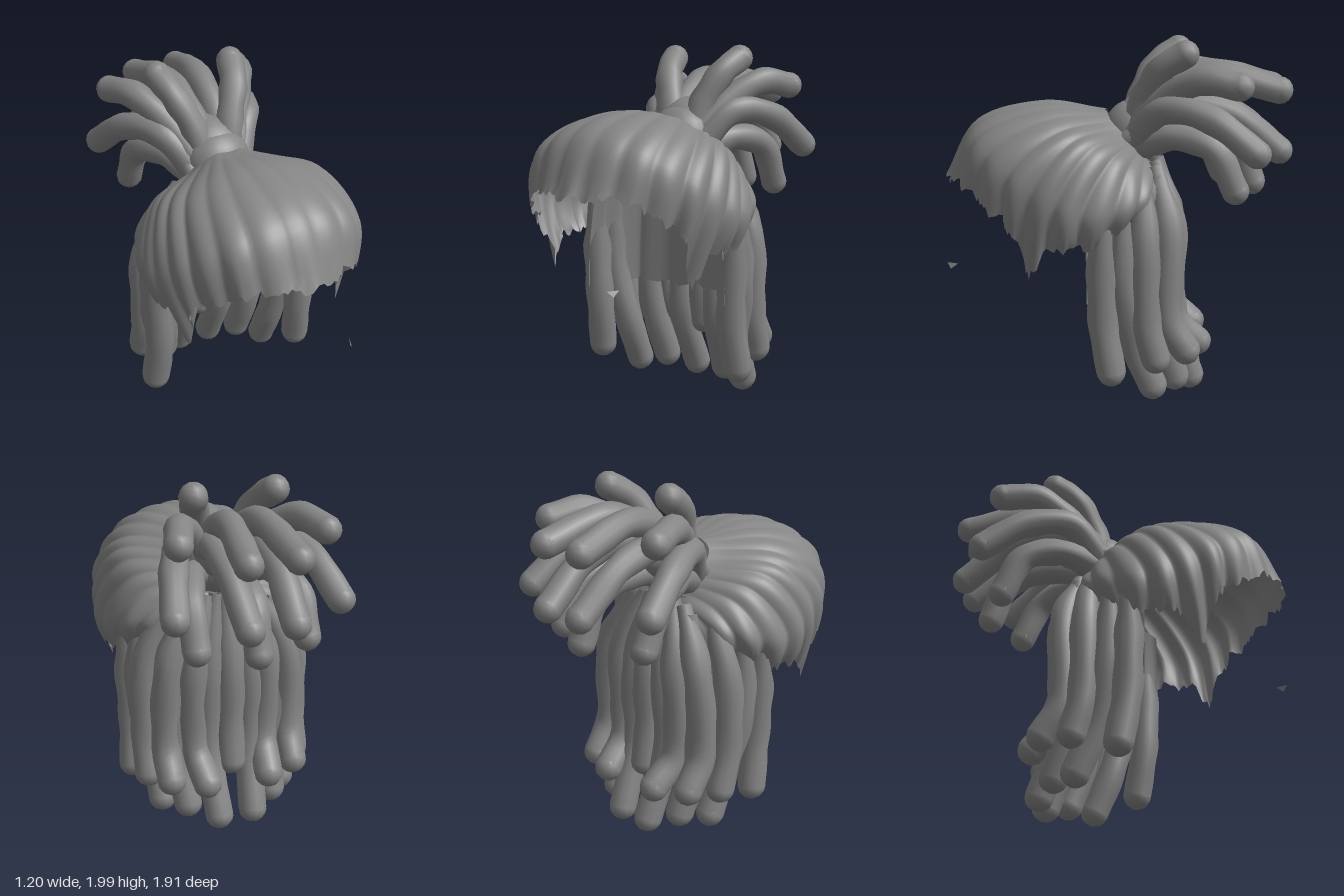
import * as THREE from 'three';
import { mergeGeometries } from 'three/addons/utils/BufferGeometryUtils.js';

const V = (p) => new THREE.Vector3(...p);
const mirror = (p) => [-p[0], p[1], p[2]];

// Small repeatable noise in -1..1
const noise = (n) => {
  const s = Math.sin(n * 127.1 + 3.7) * 43758.5453;
  return (s - Math.floor(s)) * 2 - 1;
};

// Indexed surface from a grid of points: columns run around, rows run downwards
function gridSurface(columns, rows, closed, point) {
  const pos = [], index = [];
  for (let i = 0; i < columns; i++)
    for (let j = 0; j <= rows; j++) pos.push(...point(i, j / rows));
  const last = closed ? columns : columns - 1;
  for (let i = 0; i < last; i++)
    for (let j = 0; j < rows; j++) {
      const a = i * (rows + 1) + j;
      const b = ((i + 1) % columns) * (rows + 1) + j;
      index.push(a, a + 1, b, b, a + 1, b + 1);
    }
  const g = new THREE.BufferGeometry();
  g.setAttribute('position', new THREE.Float32BufferAttribute(pos, 3));
  g.setIndex(index);
  g.computeVertexNormals();
  return g;
}

// Rope-like lock with a rounded tip; root is the relative thickness at its start
function lockGeometry(points, radius, root, seed) {
  const curve = new THREE.CatmullRomCurve3(points.map(V));
  const steps = 24, sides = 12;
  const tube = new THREE.TubeGeometry(curve, steps, radius, sides, false);
  const p = tube.attributes.position, v = new THREE.Vector3();
  for (let i = 0; i <= steps; i++) {
    const t = i / steps, c = curve.getPointAt(t);
    const taper = root + (1 - root) * Math.min(1, t * 3.5);
    const k = taper + 0.05 * Math.sin(i * 0.9 + seed * 2) * Math.min(1, (1 - t) * 4);
    for (let j = 0; j <= sides; j++) {
      const n = i * (sides + 1) + j;
      v.fromBufferAttribute(p, n).sub(c).multiplyScalar(k).add(c);
      p.setXYZ(n, v.x, v.y, v.z);
    }
  }
  const tip = new THREE.SphereGeometry(radius, sides, 8);
  const end = curve.getPointAt(1);
  tip.translate(end.x, end.y, end.z);
  return mergeGeometries([tube, tip]);
}

// Strand lines from knot to hairline, from the brow round to the nape
const STRANDS = [
  [[0, 1.6, 0.07], [0, 1.65, 0.4], [0, 1.55, 0.77], [0, 1.25, 0.945]],
  [[0.07, 1.6, 0.06], [0.24, 1.61, 0.4], [0.32, 1.47, 0.73], [0.315, 1.23, 0.84]],
  [[0.14, 1.56, 0.04], [0.39, 1.53, 0.33], [0.49, 1.34, 0.58], [0.48, 1.08, 0.65]],
  [[0.17, 1.5, -0.02], [0.46, 1.47, 0.21], [0.57, 1.23, 0.4], [0.54, 0.96, 0.48]],
  [[0.17, 1.44, -0.08], [0.44, 1.39, 0.05], [0.58, 1.14, 0.2], [0.56, 0.92, 0.22]],
  [[0.15, 1.38, -0.13], [0.38, 1.31, -0.08], [0.5, 1.16, -0.05], [0.49, 1.01, 0.0]],
  [[0.08, 1.33, -0.17], [0.22, 1.28, -0.19], [0.33, 1.2, -0.18], [0.35, 1.1, -0.18]],
  [[0, 1.32, -0.19], [0, 1.26, -0.23], [0, 1.18, -0.25], [0, 1.08, -0.27]],
];

function capGeometry() {
  const loop = [...STRANDS, ...STRANDS.slice(1, 7).reverse().map((s) => s.map(mirror))];
  const rings = [0, 1, 2, 3].map((r) => new THREE.CatmullRomCurve3(loop.map((s) => V(s[r])), true));
  const columns = 224, center = V([0, 1.15, 0.25]);
  const strands = [];
  for (let i = 0; i < columns; i++)
    strands.push(new THREE.CatmullRomCurve3(rings.map((c) => c.getPoint(i / columns))));
  return gridSurface(columns, 24, true, (i, v) => {
    let u = (i / columns) * 14;
    if (u > 7) u = 14 - u;
    // rounded lobes, one per strand: shallow at brow and nape, full at the sides
    const phase = u < 1 ? 2 * u : 2 + 1.5 * (u - 1);
    const lobe = Math.abs(Math.cos(Math.PI * phase));
    const side = Math.sin(Math.PI * Math.min(1, u / 7));
    const depth = (0.015 + 0.035 * side) * v;
    const p = strands[i].getPoint(v);
    const out = p.clone().sub(center).normalize();
    const curl = 0.05 * side * Math.pow(v, 7);
    p.addScaledVector(out, depth * (lobe - 0.5) - curl);
    // ragged hem and sideburns
    const hem = u < 5 ? Math.pow(v, 8) : 0;
    const burn = Math.exp(-Math.pow((u - 2.9) / 0.32, 2)) * Math.pow(v, 6);
    p.y += hem * 0.025 * noise(i) - burn * 0.19;
    p.x *= 1 - burn * 0.12;
    return p.toArray();
  });
}

// Curved sheet behind the head, under the hanging locks
function scalpGeometry() {
  const half = [[0.45, 0, 0.17], [0.41, 0, 0.04], [0.31, 0, -0.11]];
  const curve = new THREE.CatmullRomCurve3(
    [...half.map(mirror), [0, 0, -0.16], ...half.slice().reverse()].map(V));
  const columns = 61;
  return gridSurface(columns, 12, false, (i, v) => {
    const p = curve.getPoint(i / (columns - 1));
    const top = 1.34 - 0.8 * Math.max(0, p.z);
    const bottom = 0.62 + 0.02 * noise(i);
    const wave = 1 + 0.03 * Math.cos(i * 0.85);
    const narrow = 1 - 0.15 * Math.pow(1 - v, 2);
    return [p.x * wave * narrow, top + (bottom - top) * v, p.z + 0.012 * Math.cos(i * 0.85)];
  });
}

// Locks that are mirrored; those on x = 0 are built once
const TAIL = [
  [[0.07, 1.5, -0.08], [0.11, 1.68, -0.14], [0.18, 1.84, -0.23], [0.22, 1.92, -0.35]],
  [[0.05, 1.5, -0.08], [0.07, 1.7, -0.25], [0.09, 1.8, -0.5], [0.13, 1.72, -0.87]],
  [[0.1, 1.48, -0.08], [0.2, 1.67, -0.24], [0.32, 1.79, -0.43], [0.39, 1.765, -0.62]],
  [[0.12, 1.45, -0.08], [0.26, 1.63, -0.24], [0.37, 1.59, -0.48], [0.44, 1.42, -0.71]],
  [[0.08, 1.46, -0.08], [0.12, 1.64, -0.3], [0.13, 1.6, -0.6], [0.12, 1.39, -0.88]],
  [[0.12, 1.42, -0.1], [0.22, 1.48, -0.3], [0.29, 1.42, -0.5], [0.3, 1.2, -0.62]],
  [[0, 1.42, -0.1], [0, 1.49, -0.4], [0.01, 1.42, -0.65], [0.02, 1.2, -0.75]],
];
const HANGING = [
  [[0.47, 1.1, 0.1], [0.46, 0.78, 0.1], [0.45, 0.5, 0.09], [0.465, 0.25, 0.05]],
  [[0.43, 1.15, 0.0], [0.43, 0.7, -0.02], [0.37, 0.35, -0.09], [0.36, 0.13, -0.18]],
  [[0.32, 1.24, -0.13], [0.43, 0.95, -0.13], [0.44, 0.5, -0.14], [0.44, 0.31, -0.19]],
  [[0.22, 1.27, -0.2], [0.31, 0.85, -0.23], [0.28, 0.4, -0.23], [0.25, 0.14, -0.31]],
  [[0.18, 1.31, -0.2], [0.33, 1, -0.26], [0.36, 0.5, -0.26], [0.36, 0.33, -0.36]],
  [[0.05, 1.34, -0.21], [0.11, 0.95, -0.28], [0.12, 0.45, -0.28], [0.1, 0.09, -0.41]],
  [[0.1, 1.33, -0.2], [0.2, 1, -0.29], [0.2, 0.47, -0.3], [0.18, 0.32, -0.44]],
  [[0, 1.34, -0.21], [0, 0.95, -0.3], [0, 0.6, -0.3], [0, 0.38, -0.33]],
];

export function createModel() {
  const model = new THREE.Group();
  model.name = 'lockedHair';
  const hair = new THREE.MeshStandardMaterial({ color: 0x858585, side: THREE.DoubleSide });
  hair.name = 'hair grey';

  const add = (name, geometry, parent = model) => {
    const mesh = new THREE.Mesh(geometry, hair);
    mesh.name = name;
    parent.add(mesh);
    return mesh;
  };
  const addLocks = (name, paths, radius, root) => {
    const group = new THREE.Group();
    group.name = name + 's';
    paths.forEach((path, i) => {
      add(name, lockGeometry(path, radius, root, i), group);
      if (path[0][0] > 0) add(name, lockGeometry(path.map(mirror), radius, root, i + 0.5), group);
    });
    model.add(group);
  };

  add('cap', capGeometry());
  add('scalpSheet', scalpGeometry());
  addLocks('tailLock', TAIL, 0.075, 1.1);
  addLocks('hangingLock', HANGING, 0.08, 0.5);

  // Gathered knot, the swelling where the tail splits, and the band round its base
  const addBall = (name, size, position) => {
    const ball = add(name, new THREE.SphereGeometry(1, 24, 16));
    ball.scale.set(...size);
    ball.position.set(...position);
  };
  addBall('knot', [0.19, 0.18, 0.17], [0, 1.48, -0.09]);
  addBall('tailRoot', [0.18, 0.14, 0.2], [0, 1.57, -0.2]);
  const band = add('knotBand', new THREE.TorusGeometry(0.17, 0.045, 12, 32));
  band.position.set(0, 1.48, -0.06);
  band.rotation.x = -0.85;

  // Loose wisp in front of the face
  const wisp = new THREE.BufferGeometry();
  wisp.setAttribute('position', new THREE.Float32BufferAttribute(
    [0.29, 0.81, 0.87, 0.26, 0.81, 0.93, 0.285, 0.78, 0.91], 3));
  wisp.computeVertexNormals();
  add('looseWisp', wisp);

  return model;
}
